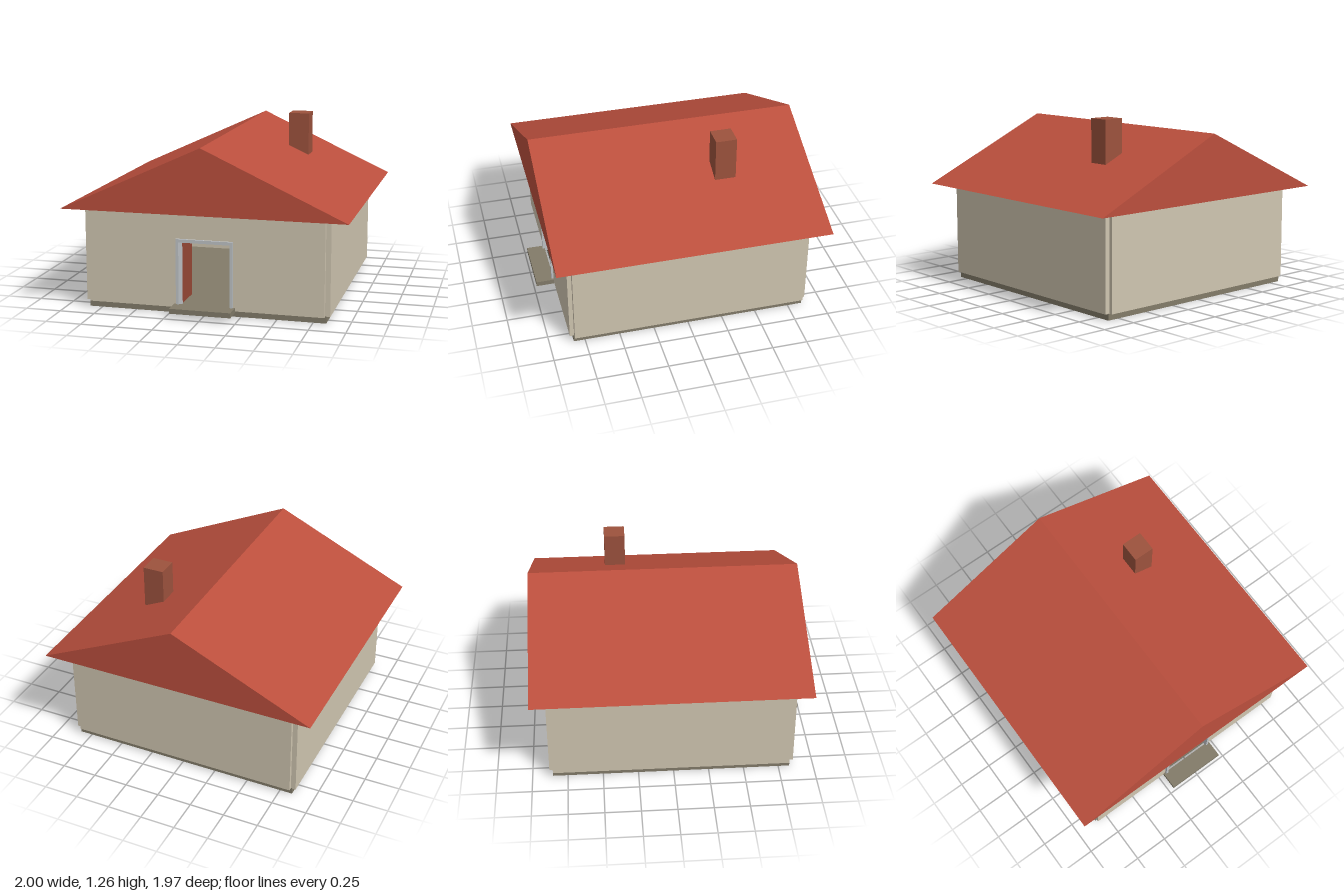
import * as THREE from 'three';

const material = (name, color) => {
  const m = new THREE.MeshStandardMaterial({ color });
  m.name = name;
  return m;
};

export function createModel() {
  const house = new THREE.Group();
  house.name = 'house';

  const plaster = material('beige plaster', 0xcfc5b0);
  const stone = material('grey stone', 0x827b69);
  const tile = material('red roof', 0xbb4f3d);
  const brick = material('brown brick', 0x9c523d);
  const trim = material('pale grey trim', 0xbfc3c6);
  const wood = material('red brown door', 0x984836);

  const add = (name, geometry, mat) => {
    const mesh = new THREE.Mesh(geometry, mat);
    mesh.name = name;
    house.add(mesh);
    return mesh;
  };
  // Box given by its limits on each axis
  const box = (name, mat, [x0, x1], [y0, y1], [z0, z1]) => {
    const mesh = add(name, new THREE.BoxGeometry(x1 - x0, y1 - y0, z1 - z0), mat);
    mesh.position.set((x0 + x1) / 2, (y0 + y1) / 2, (z0 + z1) / 2);
    return mesh;
  };
  // Outline in x and y, extruded from z0 to z1
  const prism = (name, mat, points, z0, z1) => {
    const shape = new THREE.Shape(points.map(([x, y]) => new THREE.Vector2(x, y)));
    const geometry = new THREE.ExtrudeGeometry(shape, { depth: z1 - z0, bevelEnabled: false });
    return add(name, geometry.translate(0, 0, z0), mat);
  };

  // Foundation slab, also the floor inside
  box('foundation', stone, [-0.84, 0.84], [0, 0.05], [-0.855, 0.83]);

  // Walls: the panels leave a small notch at each corner
  const wallY = [0.045, 0.72];
  box('backWall', plaster, [-0.83, 0.83], wallY, [-0.88, -0.81]);
  box('leftWall', plaster, [0.795, 0.865], wallY, [-0.855, 0.825]);
  box('rightWall', plaster, [-0.865, -0.795], wallY, [-0.855, 0.825]);
  prism('frontWall', plaster, [
    [-0.83, 0.045], [-0.19, 0.045], [-0.19, 0.515], [0.19, 0.515],
    [0.19, 0.045], [0.83, 0.045], [0.83, 0.72], [-0.83, 0.72],
  ], 0.785, 0.855);

  // Door frame
  const frameZ = [0.775, 0.87];
  box('frameHeader', trim, [-0.2, 0.2], [0.507, 0.53], frameZ);
  for (const [side, s] of [['left', 1], ['right', -1]]) {
    const jamb = box(side + 'Jamb', trim, [-0.01, 0.01], [0.05, 0.507], frameZ);
    jamb.position.x = s * 0.19;
  }

  // Door leaf standing open into the room
  box('openDoor', wood, [-0.2, -0.181], [0.052, 0.5], [0.54, 0.775]);

  // Front step
  box('doorStep', stone, [-0.215, 0.215], [0.035, 0.07], [0.855, 0.985]);

  // Gable roof and chimney
  prism('roof', tile, [[-1, 0.715], [1, 0.715], [0, 1.175]], -0.985, 0.95);
  box('chimney', brick, [0.34, 0.49], [0.85, 1.26], [-0.43, -0.28]);

  return house;
}
